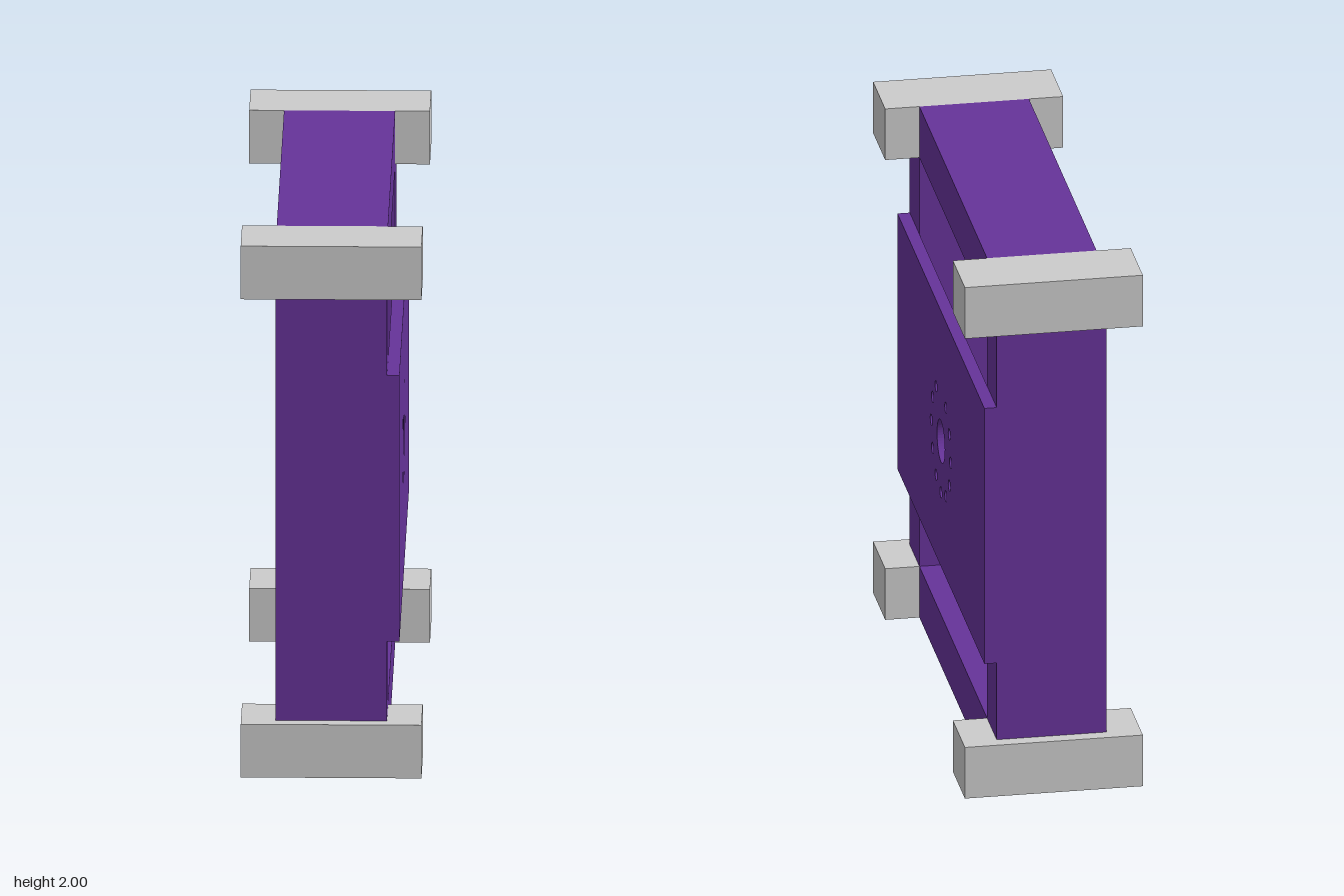
import * as THREE from 'three';

const grey = new THREE.MeshStandardMaterial({ color: 0xcccccc });
const purple = new THREE.MeshStandardMaterial({ color: 0x663399 });

function addBox(parent, name, size, position, material) {
  const mesh = new THREE.Mesh(new THREE.BoxGeometry(...size), material);
  mesh.name = name;
  mesh.position.set(...position);
  parent.add(mesh);
}

function addHole(shape, x, y, radius) {
  const hole = new THREE.Path();
  hole.absarc(x, y, radius, 0, Math.PI * 2, true);
  shape.holes.push(hole);
}

// Side plate with a central bore and a bolt circle that skips the top position
function createPlate() {
  const halfLength = 0.9, bottom = 0.5, top = 1.5, thickness = 0.045;
  const boreY = 0.99, boltCircle = 0.2;
  const shape = new THREE.Shape([
    new THREE.Vector2(-halfLength, bottom),
    new THREE.Vector2(halfLength, bottom),
    new THREE.Vector2(halfLength, top),
    new THREE.Vector2(-halfLength, top),
  ]);
  addHole(shape, 0, boreY, 0.08);
  for (let i = 1; i < 12; i++) {
    const a = i * Math.PI / 6;
    addHole(shape, Math.sin(a) * boltCircle, boreY + Math.cos(a) * boltCircle, 0.021);
  }
  const geometry = new THREE.ExtrudeGeometry(shape, {
    depth: thickness, bevelEnabled: false, curveSegments: 24,
  });
  geometry.rotateY(Math.PI / 2);
  const plate = new THREE.Mesh(geometry, purple);
  plate.name = 'mountingPlate';
  plate.position.x = 0.2;
  return plate;
}

export function createModel() {
  const model = new THREE.Group();
  model.name = 'frame';

  // Horizontal rails, bottom and top
  for (const [name, y] of [['bottomRail', 0.1], ['topRail', 1.9]]) {
    addBox(model, name, [0.4, 0.2, 1.4], [0, y, 0], purple);
  }

  // Upright posts and the blocks that cap them, front and back
  for (const [end, s] of [['front', 1], ['back', -1]]) {
    addBox(model, end + 'Post', [0.4, 1.6, 0.2], [0, 1, 0.8 * s], purple);
    addBox(model, end + 'BottomBlock', [0.65, 0.2, 0.25], [0, 0.1, 0.825 * s], grey);
    addBox(model, end + 'TopBlock', [0.65, 0.2, 0.25], [0, 1.9, 0.825 * s], grey);
  }

  model.add(createPlate());
  return model;
}
